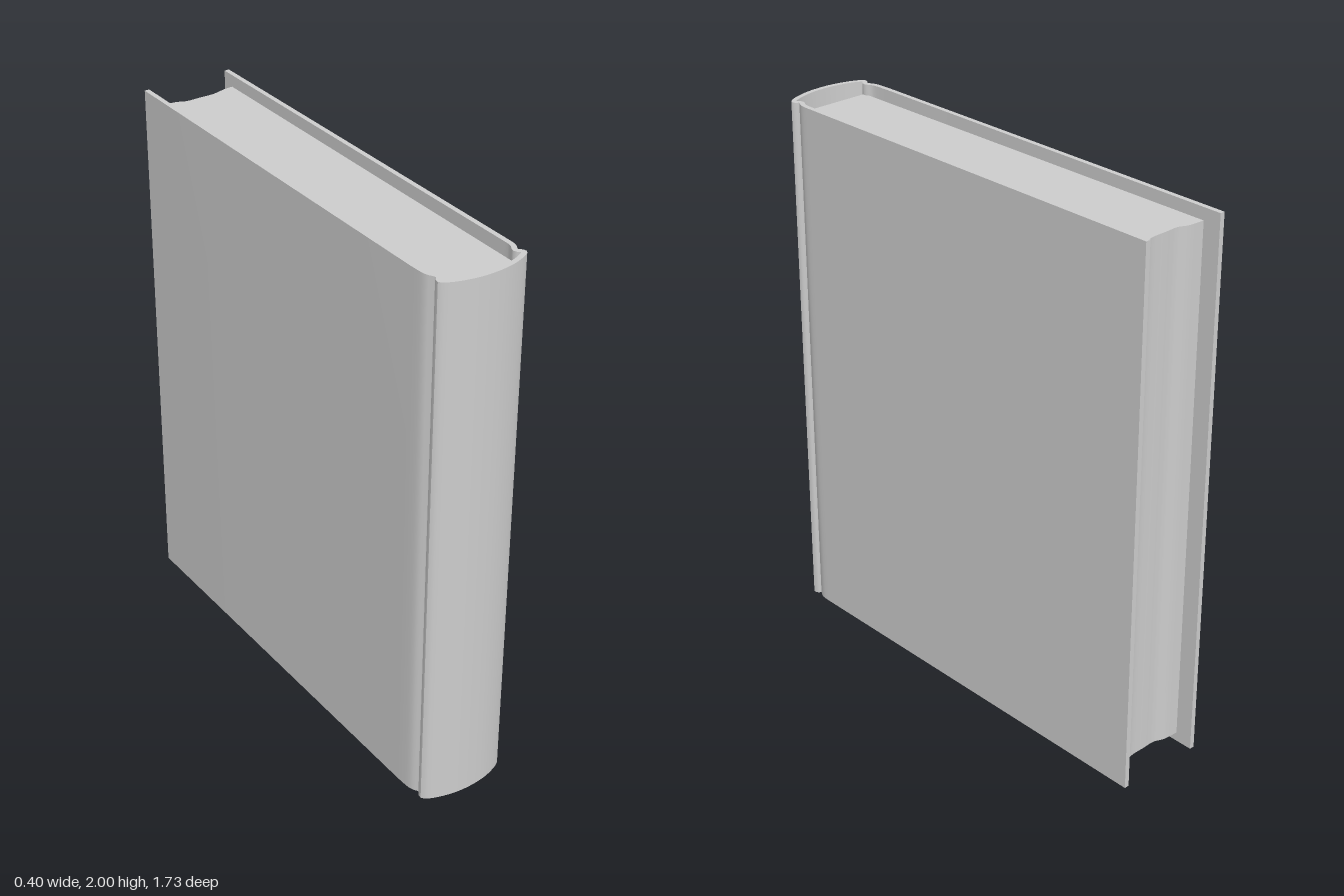
import * as THREE from 'three';
import { toCreasedNormals } from 'three/addons/utils/BufferGeometryUtils.js';

const vec = ([x, z]) => new THREE.Vector2(x, z);

// Extrudes a plan outline (x, z) upward from y0 to y1
function upright(shape, y0, y1) {
  const geo = new THREE.ExtrudeGeometry(shape, { depth: y1 - y0, bevelEnabled: false, curveSegments: 6 });
  geo.rotateX(Math.PI / 2);
  geo.translate(0, y1, 0);
  return toCreasedNormals(geo, 0.7);
}

// Gives a plan path an even thickness
function ribbon(points, thickness) {
  const side = (sign) => points.map((p, i) => {
    const a = points[Math.max(i - 1, 0)];
    const b = points[Math.min(i + 1, points.length - 1)];
    const t = b.clone().sub(a).normalize();
    return new THREE.Vector2(p.x - t.y * sign * thickness / 2, p.y + t.x * sign * thickness / 2);
  });
  return new THREE.Shape([...side(1), ...side(-1).reverse()]);
}

export function createModel() {
  const book = new THREE.Group();
  book.name = 'book';
  const grey = new THREE.MeshStandardMaterial({ color: 0xcccccc });
  grey.name = 'light grey';

  const add = (name, geometry) => {
    const mesh = new THREE.Mesh(geometry, grey);
    mesh.name = name;
    book.add(mesh);
  };

  // Case: two leaning boards joined by hinge grooves and a rounded spine
  const bend = new THREE.SplineCurve([
    [-0.143, 0.7], [-0.137, 0.76], [-0.121, 0.793], [-0.133, 0.82], [-0.1, 0.839],
    [-0.04, 0.853], [0.02, 0.856], [0.09, 0.848], [0.15, 0.828], [0.185, 0.804],
    [0.169, 0.783], [0.182, 0.75], [0.182, 0.7],
  ].map(vec)).getPoints(48);
  const path = [vec([-0.195, -0.86]), ...bend, vec([0.128, -0.867])];
  add('cover', upright(ribbon(path, 0.018), 0, 2));

  // Page block with a gently hollowed fore edge
  const pages = new THREE.Shape();
  pages.moveTo(-0.12, 0.8);
  pages.lineTo(0.165, 0.79);
  pages.lineTo(0.116, -0.81);
  pages.splineThru([[0.08, -0.805], [0.03, -0.79], [-0.03, -0.787], [-0.08, -0.785], [-0.12, -0.798], [-0.178, -0.8]].map(vec));
  pages.closePath();
  add('pages', upright(pages, 0.04, 1.96));

  return book;
}
